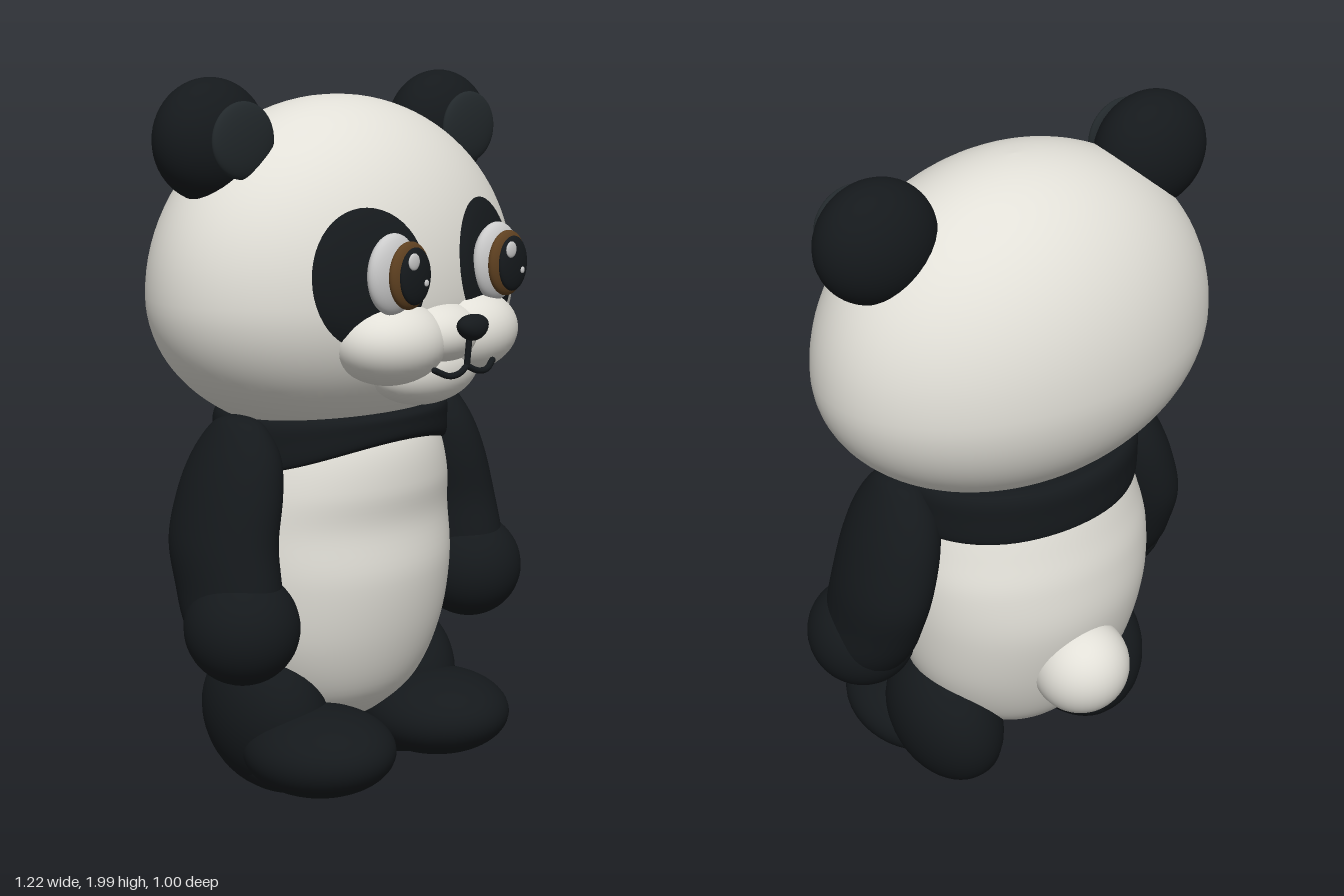
import * as THREE from 'three';

const mat = (color) => new THREE.MeshStandardMaterial({ color });
const WHITE = mat(0xe2e0d8), BLACK = mat(0x15191c), EAR = mat(0x22282b), BROWN = mat(0x5e4020), SHINE = mat(0xf4f4f4);
const PATCH = mat(0x15191c);
PATCH.side = THREE.DoubleSide;

function add(parent, name, geometry, material) {
  const mesh = new THREE.Mesh(geometry, material);
  mesh.name = name;
  parent.add(mesh);
  return mesh;
}

function ellipsoid(parent, name, material, center, radii, tilt = 0) {
  const mesh = add(parent, name, new THREE.SphereGeometry(1, 40, 28), material);
  mesh.position.set(...center);
  mesh.scale.set(...radii);
  mesh.rotation.z = tilt;
  return mesh;
}

// Smooth skin over elliptical rings [y, centreX, radiusX, centreZ, radiusZ], bottom to top
function loft(rings, steps = 48, seg = 56) {
  const curve = (pick) => new THREE.CatmullRomCurve3(rings.map(pick), false, 'catmullrom', 0.5);
  const centers = curve((r) => new THREE.Vector3(r[1], r[0], r[3]));
  const radii = curve((r) => new THREE.Vector3(r[2], 0, r[4]));
  const pos = [], index = [];
  for (let i = 0; i <= steps; i++) {
    const c = centers.getPoint(i / steps), r = radii.getPoint(i / steps);
    for (let j = 0; j < seg; j++) {
      const a = (j / seg) * Math.PI * 2;
      pos.push(c.x + r.x * Math.sin(a), c.y, c.z + r.z * Math.cos(a));
      if (i === steps) continue;
      const p = i * seg + j, q = i * seg + ((j + 1) % seg);
      index.push(p, q, p + seg, q, q + seg, p + seg);
    }
  }
  const g = new THREE.BufferGeometry();
  g.setAttribute('position', new THREE.Float32BufferAttribute(pos, 3));
  g.setIndex(index);
  g.computeVertexNormals();
  return g;
}

// Move every vertex by a rule, then refresh the normals
function warp(g, rule) {
  const p = g.attributes.position, v = new THREE.Vector3();
  for (let i = 0; i < p.count; i++) {
    rule(v.fromBufferAttribute(p, i));
    p.setXYZ(i, v.x, v.y, v.z);
  }
  g.computeVertexNormals();
  return g;
}

// Head: an ellipsoid, taller above its widest line than below
const HEAD = { y: 1.42, z: -0.045, rx: 0.592, rz: 0.41, up: 0.525, down: 0.405 };
function headZ(x, y) {
  const v = (y - HEAD.y) / (y > HEAD.y ? HEAD.up : HEAD.down);
  return HEAD.z + HEAD.rz * Math.sqrt(Math.max(0, 1 - (x / HEAD.rx) ** 2 - v * v));
}

function buildHead() {
  const head = new THREE.Group();
  head.name = 'head';
  const rings = Array.from({ length: 25 }, (_, i) => {
    const a = (i / 24 - 0.5) * Math.PI, s = Math.sin(a), c = Math.cos(a);
    return [HEAD.y + s * (s > 0 ? HEAD.up : HEAD.down), 0, HEAD.rx * c, HEAD.z, HEAD.rz * c];
  });
  add(head, 'skull', loft(rings, 48, 72), WHITE);

  for (const s of [1, -1]) {
    const side = s > 0 ? 'left' : 'right';
    ellipsoid(head, side + 'Ear', BLACK, [s * 0.44, 1.838, -0.062], [0.168, 0.162, 0.125]);
    ellipsoid(head, side + 'InnerEar', EAR, [s * 0.435, 1.842, 0.06], [0.106, 0.1, 0.025]);

    // Dark patch hugging the face
    const patch = warp(new THREE.RingGeometry(0.001, 1, 48, 10), (v) => {
      const rim = v.length(), t = s * 0.2;
      const x = v.x * 0.16, y = v.y * 0.182;
      v.x = s * 0.228 + x * Math.cos(t) - y * Math.sin(t);
      v.y = 1.49 + x * Math.sin(t) + y * Math.cos(t);
      v.z = headZ(v.x, v.y) + 0.016 * Math.sqrt(Math.max(0, 1 - rim * rim)) + 0.003;
    });
    add(head, side + 'EyePatch', patch, PATCH);

    // Layered eye; the glints sit on the same side of both eyes
    ellipsoid(head, side + 'EyeWhite', SHINE, [s * 0.203, 1.505, 0.37], [0.088, 0.106, 0.037]);
    ellipsoid(head, side + 'Iris', BROWN, [s * 0.192, 1.505, 0.418], [0.072, 0.088, 0.026]);
    ellipsoid(head, side + 'Pupil', BLACK, [s * 0.192, 1.505, 0.438], [0.055, 0.074, 0.018]);
    ellipsoid(head, side + 'LargeGlint', SHINE, [s * 0.19 - 0.023, 1.545, 0.453], [0.02, 0.022, 0.006]);
    ellipsoid(head, side + 'SmallGlint', SHINE, [s * 0.19 + 0.022, 1.487, 0.455], [0.008, 0.009, 0.004]);

    ellipsoid(head, side + 'Cheek', WHITE, [s * 0.145, 1.315, 0.3], [0.17, 0.115, 0.14], s * 0.06);

    const smile = new THREE.CatmullRomCurve3([
      [0, 1.252, 0.447], [0.035, 1.236, 0.452], [0.075, 1.234, 0.45], [0.115, 1.252, 0.437],
    ].map(([x, y, z]) => new THREE.Vector3(s * x, y, z)));
    add(head, side + 'Smile', new THREE.TubeGeometry(smile, 20, 0.0085, 10), BLACK);
    ellipsoid(head, side + 'SmileEnd', BLACK, [s * 0.115, 1.252, 0.437], [0.0085, 0.0085, 0.0085]);
  }

  ellipsoid(head, 'muzzleBridge', WHITE, [0, 1.325, 0.3], [0.17, 0.092, 0.136]);
  ellipsoid(head, 'chin', WHITE, [0, 1.23, 0.295], [0.185, 0.1, 0.105]);

  // Nose, narrower towards its lower edge
  const nose = warp(new THREE.SphereGeometry(1, 32, 24), (v) => {
    v.set(v.x * 0.05 * (1 + 0.22 * v.y), 1.356 + v.y * 0.035, 0.466 + v.z * 0.034);
  });
  add(head, 'nose', nose, BLACK);
  const lip = new THREE.LineCurve3(new THREE.Vector3(0, 1.33, 0.455), new THREE.Vector3(0, 1.25, 0.447));
  add(head, 'lipLine', new THREE.TubeGeometry(lip, 6, 0.0085, 10), BLACK);
  return head;
}

function buildBody() {
  const body = new THREE.Group();
  body.name = 'body';

  // Belly rings: [y, half width, front z, back z]
  const belly = [
    [0.15, 0, -0.08, -0.08], [0.165, 0.09, 0.0, -0.15], [0.21, 0.18, 0.08, -0.225], [0.3, 0.28, 0.165, -0.295],
    [0.45, 0.355, 0.22, -0.355], [0.63, 0.385, 0.245, -0.395], [0.78, 0.385, 0.23, -0.388],
    [0.89, 0.365, 0.238, -0.363], [1.0, 0.33, 0.222, -0.33], [1.1, 0.28, 0.17, -0.28],
  ].map(([y, rx, f, b]) => [y, 0, rx, (f + b) / 2, (f - b) / 2]);
  add(body, 'belly', loft(belly, 60, 72), WHITE);

  // Shoulder band, its lower edge lifted at the middle of the chest
  const band = [
    [0.95, -0.05], [0.943, -0.01], [0.96, 0.004], [1.02, 0.006], [1.075, 0.004], [1.1, -0.02], [1.1, -0.09],
  ].map(([y, r]) => [y, 0, 0.36 + r, -0.058, 0.285 + r]);
  const collar = warp(loft(band, 30, 72), (v) => {
    const front = Math.max(0, (v.z + 0.058) / 0.285);
    v.y += 0.08 * front * front * THREE.MathUtils.clamp((1.1 - v.y) / 0.157, 0, 1);
  });
  add(body, 'shoulderBand', collar, BLACK);
  ellipsoid(body, 'tail', WHITE, [0, 0.48, -0.362], [0.14, 0.14, 0.14]);
  return body;
}

function buildArm(s) {
  const arm = new THREE.Group();
  arm.name = s > 0 ? 'leftArm' : 'rightArm';
  const rings = [
    [0.42, 0.455, 0, 0.05, 0], [0.44, 0.455, 0.07, 0.05, 0.08], [0.54, 0.455, 0.12, 0.03, 0.145],
    [0.65, 0.45, 0.121, 0.0, 0.168], [0.77, 0.44, 0.122, -0.03, 0.175], [0.9, 0.41, 0.118, -0.034, 0.167],
    [1.0, 0.388, 0.1, -0.032, 0.14], [1.075, 0.382, 0.062, -0.03, 0.09], [1.1, 0.382, 0.033, -0.03, 0.045],
    [1.108, 0.382, 0, -0.03, 0],
  ].map(([y, x, rx, z, rz]) => [y, s * x, rx, z, rz]);
  add(arm, 'sleeve', loft(rings), BLACK);
  ellipsoid(arm, 'paw', BLACK, [s * 0.457, 0.55, 0.06], [0.154, 0.155, 0.16]);
  return arm;
}

function buildLeg(s) {
  const leg = new THREE.Group();
  leg.name = s > 0 ? 'leftLeg' : 'rightLeg';
  ellipsoid(leg, 'thigh', BLACK, [s * 0.262, 0.225, -0.06], [0.15, 0.22, 0.206], -s * 0.22);
  const foot = ellipsoid(leg, 'foot', BLACK, [s * 0.238, 0.165, 0.13], [0.197, 0.122, 0.23]);
  foot.rotation.x = -0.08;
  // Heel joins the thigh to the sole
  ellipsoid(leg, 'heel', BLACK, [s * 0.232, 0.13, -0.03], [0.135, 0.122, 0.2]);
  return leg;
}

export function createModel() {
  const bear = new THREE.Group();
  bear.name = 'bear';
  bear.add(buildHead(), buildBody());
  for (const s of [1, -1]) bear.add(buildArm(s), buildLeg(s));
  return bear;
}
